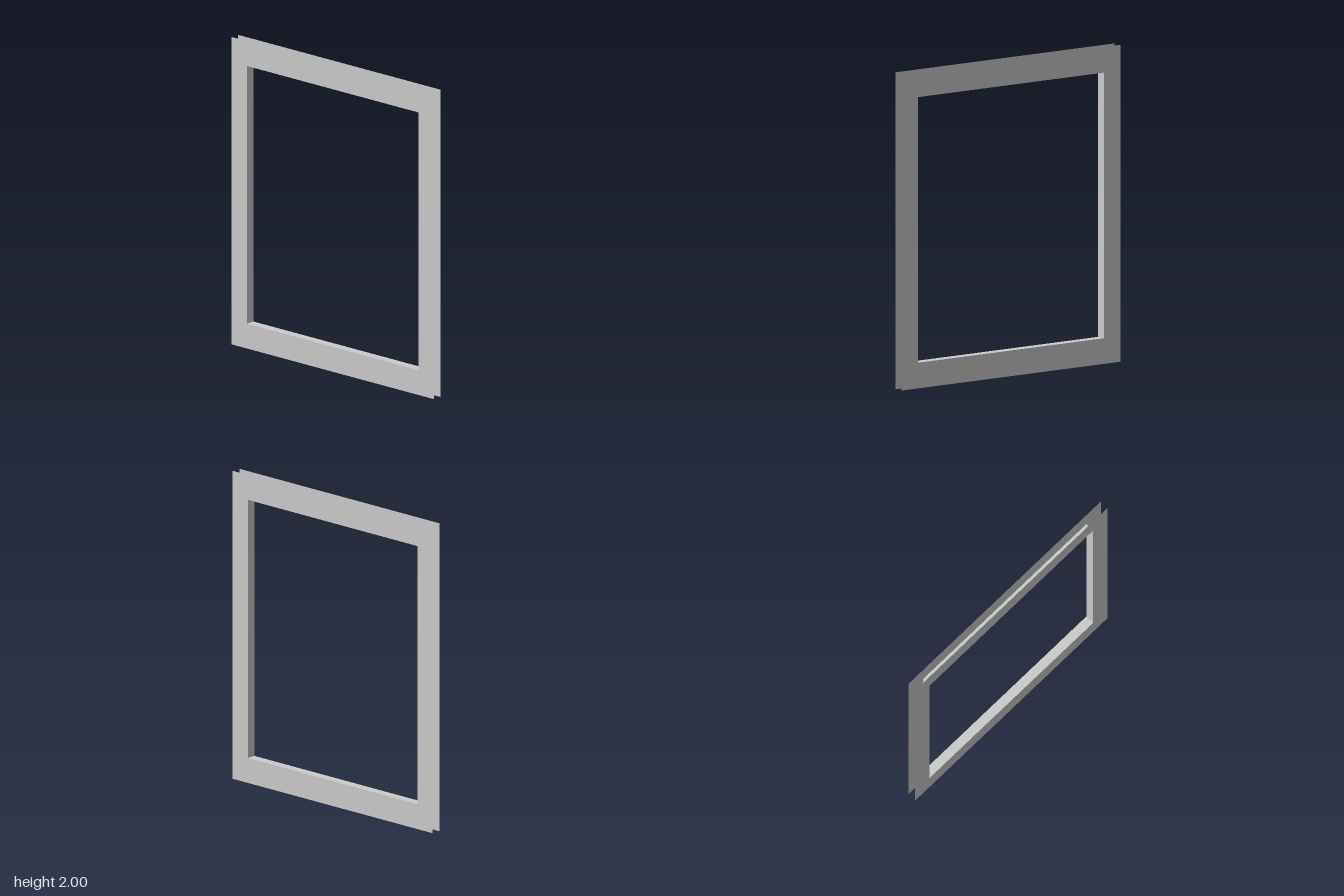
import * as THREE from 'three';

const OUTER_W = 1.7, OUTER_H = 2;      // outer edge of the frame
const INNER_W = 1.443, INNER_H = 1.676; // opening
const DEPTH = 0.06, MID_Y = OUTER_H / 2;

function rectangle(PathType, w, h) {
  return new PathType([
    new THREE.Vector2(-w / 2, -h / 2), new THREE.Vector2(w / 2, -h / 2),
    new THREE.Vector2(w / 2, h / 2), new THREE.Vector2(-w / 2, h / 2),
  ]);
}

export function createModel() {
  const model = new THREE.Group();
  model.name = 'windowFrame';
  const material = new THREE.MeshStandardMaterial({ color: 0xcccccc, side: THREE.DoubleSide });

  function add(name, geometry, x, y, z, rx = 0, ry = 0) {
    const mesh = new THREE.Mesh(geometry, material);
    mesh.name = name;
    mesh.position.set(x, y, z);
    mesh.rotation.set(rx, ry, 0);
    model.add(mesh);
  }

  // Thin front and back facings with a rectangular opening
  const facing = rectangle(THREE.Shape, OUTER_W, OUTER_H);
  facing.holes.push(rectangle(THREE.Path, INNER_W, INNER_H));
  const facingGeometry = new THREE.ShapeGeometry(facing);
  add('frontFacing', facingGeometry, 0, MID_Y, DEPTH / 2);
  add('backFacing', facingGeometry, 0, MID_Y, -DEPTH / 2, 0, Math.PI);

  // Lining of the opening, facing inward; the outer rim stays open
  const jamb = new THREE.PlaneGeometry(DEPTH, INNER_H);
  const ledge = new THREE.PlaneGeometry(INNER_W, DEPTH);
  for (const side of [1, -1]) {
    add(side > 0 ? 'leftJamb' : 'rightJamb', jamb,
      side * INNER_W / 2, MID_Y, 0, 0, -side * Math.PI / 2);
    add(side > 0 ? 'headLining' : 'sillLining', ledge,
      0, MID_Y + side * INNER_H / 2, 0, side * Math.PI / 2);
  }
  return model;
}
